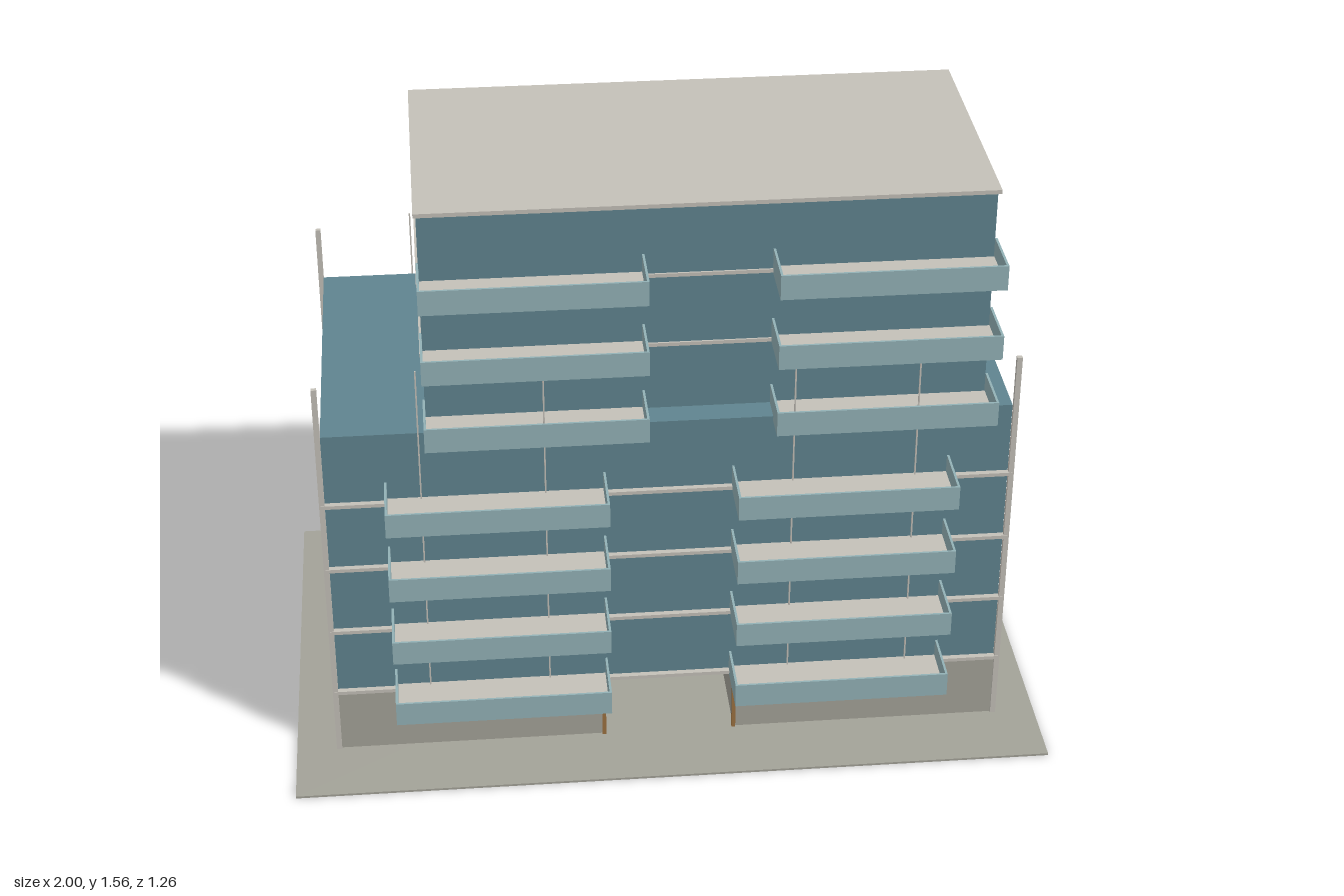
import * as THREE from 'three';

const mat = (color) => new THREE.MeshStandardMaterial({ color });

export function createModel() {
  const model = new THREE.Group();
  model.name = 'apartmentBuilding';

  const paving = mat(0xa3a298), concrete = mat(0xc4c0b8), glazing = mat(0x60848f);
  const railGlass = mat(0x93b1b6), dark = mat(0x2a3b47), doorGrey = mat(0xa0abb5);
  const timber = mat(0x9a7040), leaf = mat(0x47683f);

  // Box given by its limits on each axis
  function box(name, x0, x1, y0, y1, z0, z1, material, parent = model) {
    const mesh = new THREE.Mesh(new THREE.BoxGeometry(x1 - x0, y1 - y0, z1 - z0), material);
    mesh.position.set((x0 + x1) / 2, (y0 + y1) / 2, (z0 + z1) / 2);
    mesh.name = name;
    parent.add(mesh);
    return mesh;
  }

  // Site and ground floor, split by a deep entrance lobby
  box('groundPlate', -1, 1, 0, 0.006, -0.63, 0.63, paving);
  for (const s of [-1, 1]) {
    box('groundFloorWing', Math.min(s * 0.175, s * 0.885), Math.max(s * 0.175, s * 0.885),
      0.006, 0.19, -0.432, 0.432, paving);
    box('entranceJamb', s * 0.175 - 0.005, s * 0.175 + 0.005, 0.006, 0.187, 0.427, 0.438, timber);
    box('lobbyDoor', s * 0.06 - 0.035, s * 0.06 + 0.025, 0.006, 0.12, -0.424, -0.418, doorGrey);
  }
  box('lobbyBackWall', -0.175, 0.175, 0.006, 0.19, -0.433, -0.424, dark);
  box('receptionDesk', -0.172, -0.155, 0.006, 0.065, 0.2, 0.32, timber);

  // Main glazed volumes, the upper one set back and shifted sideways
  box('lowerBody', -0.88, 0.88, 0.19, 0.977, -0.425, 0.425, glazing);
  box('upperBody', -0.615, 0.82, 0.977, 1.549, -0.355, 0.355, glazing);
  box('roofCap', -0.622, 0.828, 1.549, 1.56, -0.364, 0.364, concrete);

  // Floor edges
  const lowerFloors = [0.19, 0.385, 0.58, 0.775];
  const upperFloors = [0.97, 1.163, 1.36];
  for (const y of lowerFloors) box('lowerFloorSlab', -0.89, 0.89, y - 0.004, y + 0.006, -0.44, 0.44, concrete);
  for (const y of upperFloors.slice(1)) {
    box('upperFloorSlab', -0.622, 0.828, y - 0.005, y + 0.005, -0.36, 0.36, concrete);
  }

  // Corner posts and slender facade columns
  for (const z of [-0.432, 0.432]) {
    for (const x of [-0.887, 0.887]) {
      box('cornerPost', x - 0.007, x + 0.007, 0.006, 1.122, z - 0.006, z + 0.006, concrete);
    }
    for (const x of [-0.635, -0.318, 0.318, 0.635]) {
      box('facadeColumn', x - 0.002, x + 0.002, 0.19, 1.16, z - 0.002, z + 0.002, concrete);
    }
  }

  // Balcony: floor plus parapet on three sides; side = 1 for front, -1 for back
  function balcony(x0, x1, y, inner, outer, side) {
    const g = new THREE.Group();
    g.name = 'balcony';
    const t = 0.006;
    const part = (name, a, b, low, high, near, far, material) => box(name, a, b, low, high,
      Math.min(side * near, side * far), Math.max(side * near, side * far), material, g);
    part('balconyFloor', x0 + t, x1 - t, y - 0.006, y + 0.011, inner, outer - t, concrete);
    part('frontParapet', x0, x1, y - 0.007, y + 0.06, outer - t, outer, railGlass);
    part('sideParapet', x0, x0 + t, y - 0.007, y + 0.06, inner, outer - t, railGlass);
    part('sideParapet', x1 - t, x1, y - 0.007, y + 0.06, inner, outer - t, railGlass);
    model.add(g);
  }
  for (const side of [-1, 1]) {
    for (const y of lowerFloors) {
      for (const x of [-0.727, 0.161]) balcony(x, x + 0.563, y, 0.42, 0.58, side);
    }
    for (const y of upperFloors) {
      for (const x of [-0.62, 0.264]) balcony(x, x + 0.563, y, 0.35, 0.5, side);
    }
  }

  // Potted shrubs on the back terrace balconies
  for (const x of [-0.49, -0.18, 0.4, 0.705]) {
    const plant = new THREE.Group();
    plant.name = 'pottedShrub';
    const pot = new THREE.Mesh(new THREE.CylinderGeometry(0.012, 0.009, 0.022, 8), timber);
    pot.name = 'pot';
    pot.position.y = 0.011;
    plant.add(pot);
    for (const [dx, dy, r] of [[0, 0.036, 0.016], [-0.012, 0.028, 0.011], [0.012, 0.029, 0.012]]) {
      const foliage = new THREE.Mesh(new THREE.IcosahedronGeometry(r, 1), leaf);
      foliage.name = 'foliage';
      foliage.position.set(dx, dy, 0);
      plant.add(foliage);
    }
    plant.position.set(x, 0.981, -0.44);
    model.add(plant);
  }
  return model;
}
